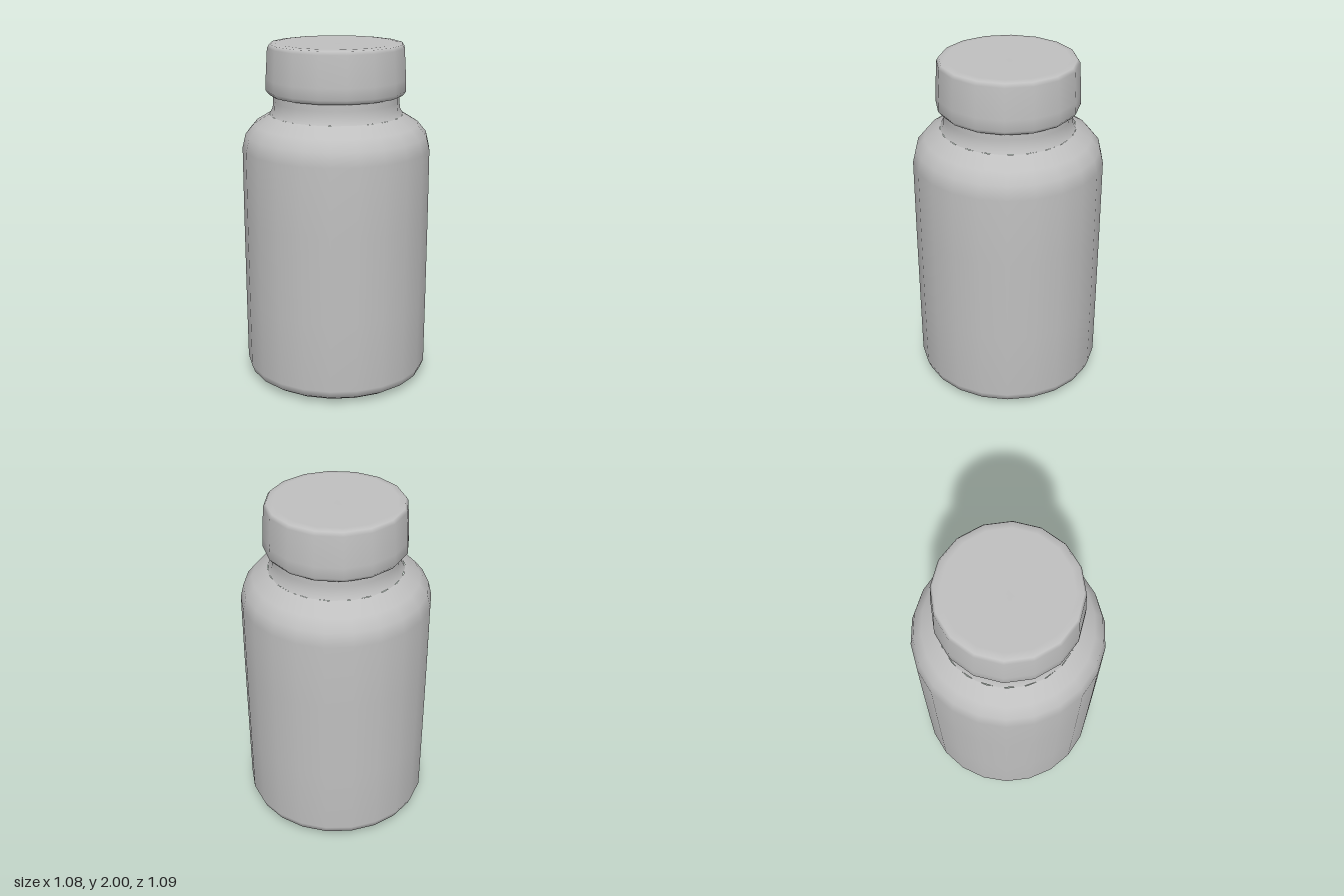
import * as THREE from 'three';

// Turn a [radius, height] profile (bottom to top) into a smooth round part
function turned(name, profile, sides, material) {
  const points = profile.map(([r, y]) => new THREE.Vector2(r, y));
  const mesh = new THREE.Mesh(new THREE.LatheGeometry(points, sides), material);
  mesh.name = name;
  return mesh;
}

export function createModel() {
  const grey = new THREE.MeshStandardMaterial({ color: 0xbfbfbf });
  grey.name = 'plain grey';

  const group = new THREE.Group();
  group.name = 'lidded bottle';

  // Body: shallow dished base, straight wall, rounded shoulder
  group.add(turned('body', [
    [0, 0.03], [0.26, 0.015], [0.36, 0.003], [0.49, 0.022], [0.525, 0.045], [0.542, 0.09],
    [0.544, 0.5], [0.545, 1.0], [0.544, 1.4], [0.525, 1.48], [0.475, 1.54], [0.385, 1.595],
  ], 22, grey));

  // Neck between shoulder and lid
  group.add(turned('neck', [
    [0.385, 1.595], [0.367, 1.625], [0.363, 1.67], [0.363, 1.73],
  ], 20, grey));

  // Lid: slightly tapered, flat on top
  group.add(turned('lid', [
    [0.35, 1.705], [0.385, 1.71], [0.405, 1.735], [0.404, 1.8], [0.393, 1.975],
    [0.38, 1.995], [0.34, 2.0], [0, 1.995],
  ], 16, grey));

  return group;
}
